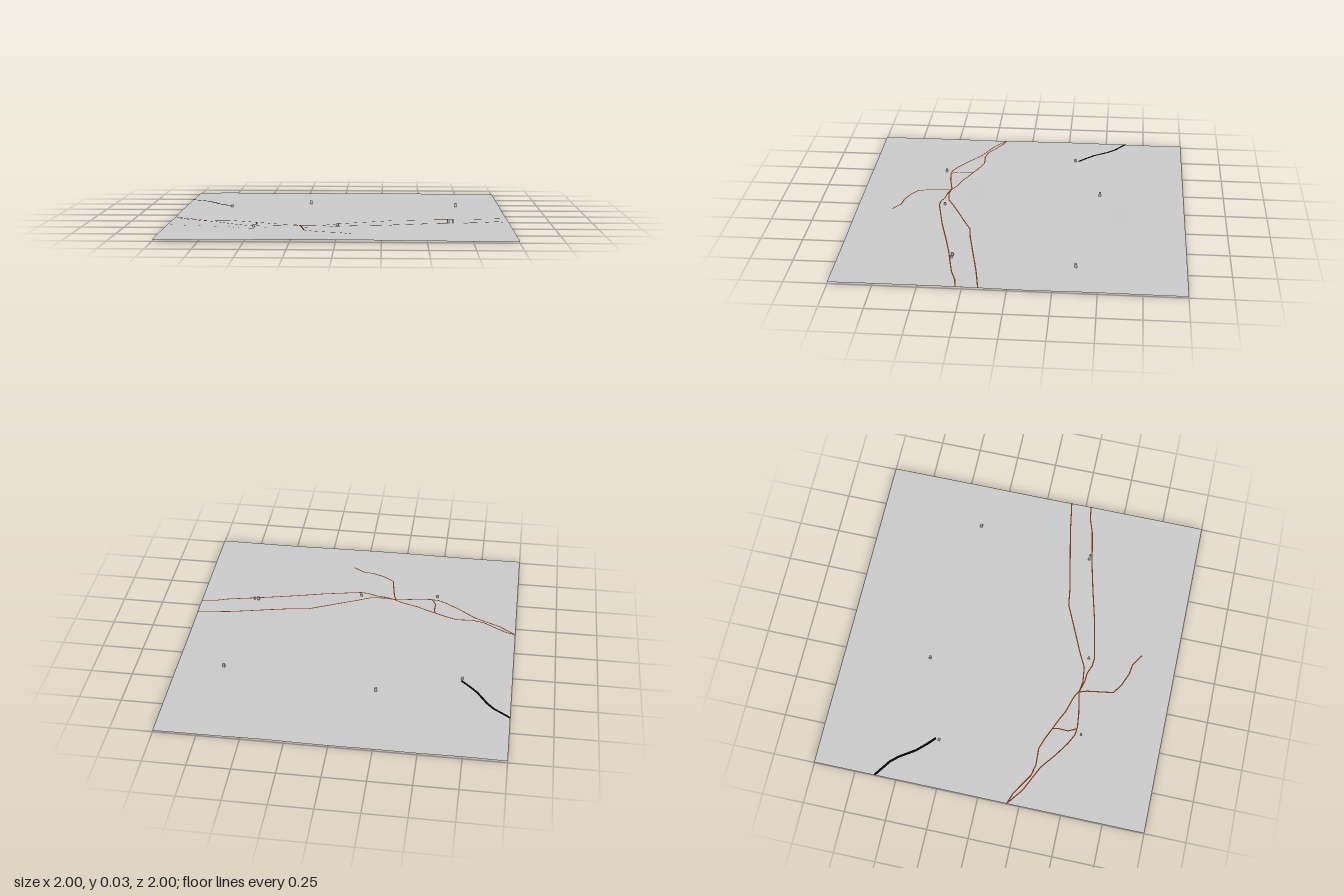
import * as THREE from 'three';

// Gently rolling ground height
const height = (x, z) =>
  0.011 + 0.0018 * Math.sin(5.1 * x + 1.3 * z + 0.6) + 0.0014 * Math.sin(6.3 * z - 2.2 * x + 1.1)
  + 0.001 * Math.sin(11 * x - 4 * z) * Math.cos(7 * z + 1);

const material = (color, side = THREE.DoubleSide) => new THREE.MeshStandardMaterial({ color, side });

function terrain() {
  const geo = new THREE.PlaneGeometry(2, 2, 64, 64).rotateX(-Math.PI / 2);
  const p = geo.attributes.position;
  for (let i = 0; i < p.count; i++) p.setY(i, height(p.getX(i), p.getZ(i)));
  geo.computeVertexNormals();
  return geo;
}

// Flat strip draped over the ground along [x, z] points
function ribbon(points, width) {
  const path = new THREE.CurvePath();
  const v = points.map(([x, z]) => new THREE.Vector3(x, 0, z));
  for (let i = 1; i < v.length; i++) path.add(new THREE.LineCurve3(v[i - 1], v[i]));
  const samples = [];
  path.curves.forEach((c, i) => {
    const n = Math.max(1, Math.ceil(c.getLength() / 0.03));
    for (let k = i ? 1 : 0; k <= n; k++) samples.push(c.getPoint(k / n));
  });
  const pos = [], index = [];
  samples.forEach((s, i) => {
    const a = samples[Math.max(0, i - 1)], b = samples[Math.min(samples.length - 1, i + 1)];
    const d = b.clone().sub(a).normalize().multiplyScalar(width / 2);
    for (const e of [-1, 1]) {
      const x = THREE.MathUtils.clamp(s.x - e * d.z, -1, 1), z = s.z + e * d.x;
      pos.push(x, height(x, z) + 0.0015, z);
    }
    if (i) {
      const k = 2 * i;
      index.push(k - 2, k - 1, k, k - 1, k + 1, k);
    }
  });
  const geo = new THREE.BufferGeometry();
  geo.setAttribute('position', new THREE.Float32BufferAttribute(pos, 3));
  geo.setIndex(index);
  geo.computeVertexNormals();
  return geo;
}

export function createModel() {
  const model = new THREE.Group();
  const add = (name, geo, mat) => {
    const mesh = new THREE.Mesh(geo, mat);
    mesh.name = name;
    model.add(mesh);
    return mesh;
  };

  const grey = material(0xcccccc);
  add('terrain', terrain(), grey);

  // Brown tracks and their branches
  const brown = material(0x74340f);
  const tracks = {
    upperTrack: [[-1, 0.175], [-0.93, 0.2], [-0.8, 0.28], [-0.73, 0.295], [-0.63, 0.29], [-0.57, 0.31],
      [-0.49, 0.345], [-0.42, 0.375], [-0.37, 0.4], [-0.27, 0.43], [-0.22, 0.457], [-0.16, 0.465],
      [-0.07, 0.455], [0.02, 0.41], [0.2, 0.33], [0.31, 0.28], [0.42, 0.265], [0.8, 0.19], [1, 0.158]],
    lowerTrack: [[-1, 0.175], [-0.9, 0.25], [-0.74, 0.325], [-0.65, 0.395], [-0.56, 0.455], [-0.5, 0.485],
      [-0.45, 0.49], [-0.36, 0.48], [-0.23, 0.455], [-0.16, 0.475], [-0.1, 0.48], [-0.05, 0.5],
      [0, 0.505], [0.1, 0.485], [0.25, 0.455], [0.45, 0.405], [0.6, 0.37], [0.73, 0.345],
      [0.83, 0.325], [0.92, 0.295], [1, 0.284]],
    linkTrack: [[-0.49, 0.345], [-0.483, 0.38], [-0.485, 0.44], [-0.46, 0.49]],
    sideTrack: [[-0.23, 0.455], [-0.215, 0.5], [-0.19, 0.66], [-0.13, 0.7], [-0.05, 0.732], [0.01, 0.74],
      [0.08, 0.785]],
  };
  for (const [name, pts] of Object.entries(tracks)) add(name, ribbon(pts, 0.007), brown);

  // Thin grey footpath
  add('footpath', ribbon([[-1, 0.48], [-0.64, 0.523], [-0.57, 0.565], [-0.5, 0.58], [-0.45, 0.57], [-0.4, 0.552],
    [-0.2, 0.545], [0, 0.52], [0.2, 0.48], [0.4, 0.43], [0.6, 0.385], [0.8, 0.345], [1, 0.31]], 0.003), grey);

  // Wide black road
  add('blackRoad', ribbon([[-1, -0.63], [-0.95, -0.595], [-0.9, -0.56], [-0.86, -0.515], [-0.8, -0.425],
    [-0.75, -0.372], [-0.7, -0.325]], 0.014), material(0x050505));

  // Small block buildings: x, z, size, base, top
  const buildings = [
    [-0.21, -0.48, 0.014, 0.006, 0.032], [0.72, -0.37, 0.014, 0, 0.032], [0.643, 0.343, 0.014, 0.006, 0.032],
    [0.669, 0.345, 0.009, 0.006, 0.027], [-0.005, 0.47, 0.012, 0.006, 0.027], [-0.49, 0.52, 0.012, 0.006, 0.025],
    [-0.705, -0.305, 0.014, 0.006, 0.025],
  ];
  buildings.forEach(([x, z, s, base, top], i) => {
    add(`building${i + 1}`, new THREE.BoxGeometry(s, top - base, s), grey).position.set(x, (base + top) / 2, z);
  });
  return model;
}
